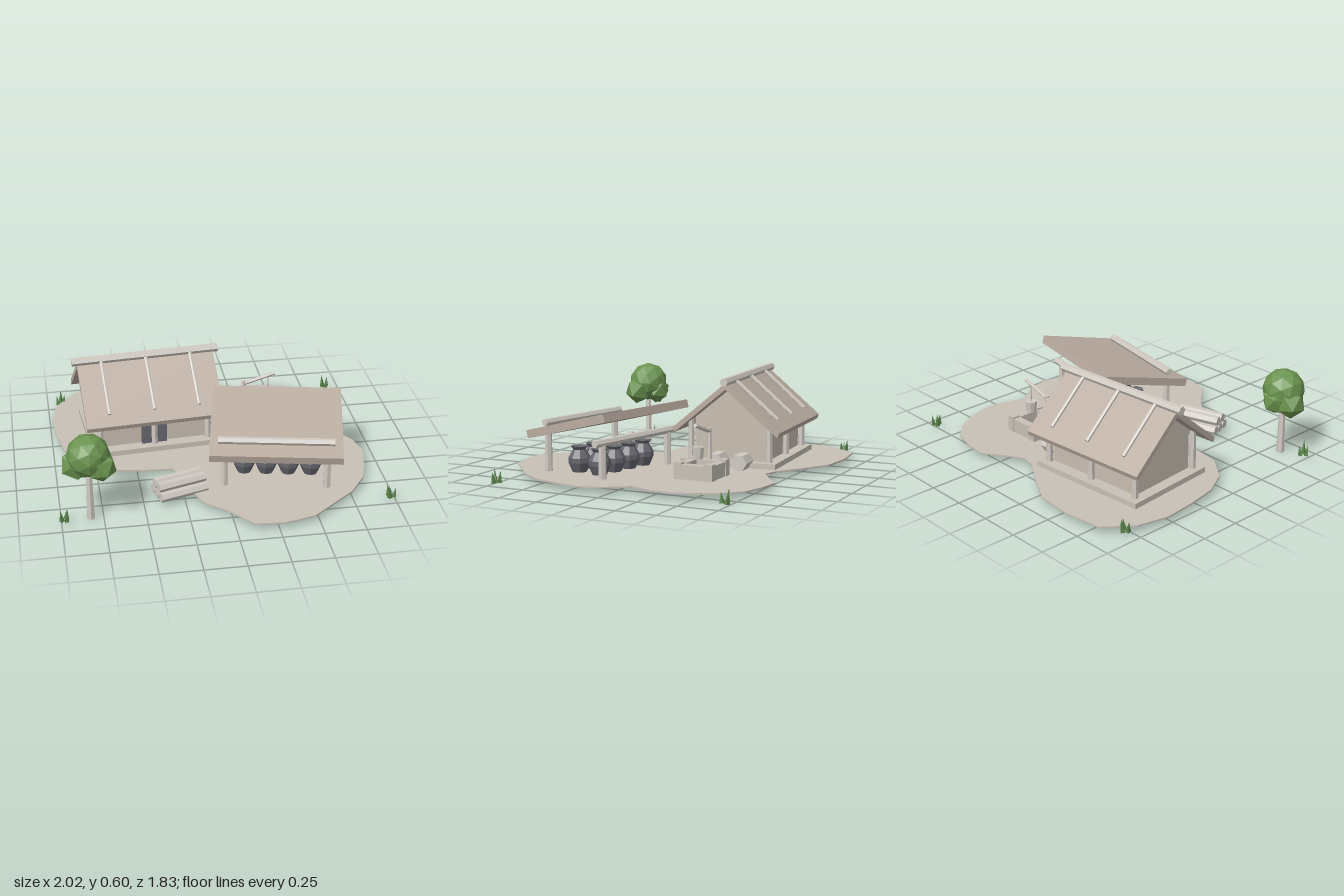
import * as THREE from 'three';

const mat = (name, color) => Object.assign(new THREE.MeshStandardMaterial({ color }), { name });
const M = {
  earth: mat('packed earth', 0xc8c0b7),
  roof: mat('roof thatch', 0xbaaca1),
  wall: mat('plaster wall', 0xc8bdb1),
  wood: mat('pale timber', 0xd0cac2),
  dark: mat('dark clay', 0x66676f),
  leaf: mat('tree leaves', 0x6a934f),
  grass: mat('grass', 0x58824a),
};

// Faceted normals for a low-poly look
const flat = (g) => {
  const f = g.index ? g.toNonIndexed() : g;
  f.computeVertexNormals();
  return f;
};

function add(parent, name, geo, material, x = 0, y = 0, z = 0) {
  const m = new THREE.Mesh(flat(geo), material);
  m.name = name;
  m.position.set(x, y, z);
  parent.add(m);
  return m;
}

function group(parent, name, x = 0, z = 0, turn = 0) {
  const g = new THREE.Group();
  g.name = name;
  g.position.set(x, 0, z);
  g.rotation.y = turn;
  parent.add(g);
  return g;
}

// Log lying along local x
const log = (r, len) => new THREE.CylinderGeometry(r, r, len, 6).rotateZ(Math.PI / 2);

// Upright post from y0 to y1
const post = (p, name, x, z, y0, y1, r) =>
  add(p, name, new THREE.CylinderGeometry(r * 0.9, r, y1 - y0, 6), M.wood, x, (y0 + y1) / 2, z);

// Pole between two points
function pole(p, name, a, b, r) {
  const from = new THREE.Vector3(...a), to = new THREE.Vector3(...b);
  const dir = to.clone().sub(from);
  const m = add(p, name, new THREE.CylinderGeometry(r, r, dir.length(), 6), M.wood);
  m.position.copy(from).add(to).multiplyScalar(0.5);
  m.quaternion.setFromUnitVectors(new THREE.Vector3(0, 1, 0), dir.normalize());
}

// Cross-section in z and y, stretched along x
function section(points, len) {
  const shape = new THREE.Shape(points.map((p) => new THREE.Vector2(...p)));
  return new THREE.ExtrudeGeometry(shape, { depth: len, bevelEnabled: false })
    .translate(0, 0, -len / 2).rotateY(Math.PI / 2);
}

function buildGround(root) {
  const outline = [
    [-0.81, -0.89], [-0.56, -0.92], [-0.33, -0.9], [-0.14, -0.79], [0.02, -0.685], [0.12, -0.66],
    [0.19, -0.7], [0.36, -0.815], [0.5, -0.8], [0.64, -0.76], [0.75, -0.66], [0.82, -0.53],
    [0.86, -0.39], [0.85, -0.25], [0.8, -0.12], [0.9, 0.03], [0.935, 0.18], [0.9, 0.34],
    [0.855, 0.49], [0.75, 0.64], [0.64, 0.73], [0.475, 0.865], [0.29, 0.912], [0.11, 0.9],
    [-0.03, 0.73], [-0.155, 0.625], [-0.2, 0.5], [-0.235, 0.4], [-0.285, 0.21], [-0.46, 0.2],
    [-0.69, 0.165], [-0.85, 0.04], [-0.935, -0.12], [-0.97, -0.32], [-0.99, -0.52], [-0.945, -0.72],
  ];
  const shape = new THREE.Shape(outline.map(([x, z]) => new THREE.Vector2(x, -z)));
  const g = new THREE.ExtrudeGeometry(shape, { depth: 0.01, bevelEnabled: false }).rotateX(-Math.PI / 2);
  add(root, 'ground', g, M.earth, 0, 0.032, 0);
}

function buildHouse(root) {
  const h = group(root, 'house', -0.382, -0.327, 0.08);
  add(h, 'platform', new THREE.BoxGeometry(0.8, 0.05, 0.62), M.earth, 0, 0.051, 0);
  add(h, 'walls', section([[-0.235, 0.07], [0.235, 0.07], [0.235, 0.33], [0, 0.523], [-0.235, 0.33]], 0.66), M.wall);
  add(h, 'door', new THREE.BoxGeometry(0.16, 0.15, 0.03), M.dark, 0.0, 0.147, 0.24);
  add(h, 'roof', section([[-0.335, 0.245], [0, 0.525], [0.335, 0.245],
    [0.346, 0.275], [0, 0.565], [-0.346, 0.275]], 0.875), M.roof);
  add(h, 'ridgeLog', log(0.027, 0.94), M.wood, 0, 0.573, 0);
  for (const s of [-1, 1]) {
    for (const x of [-0.345, 0, 0.345]) post(h, 'housePost', x, s * 0.255, 0, 0.32, 0.022);
    for (const x of [-0.285, 0, 0.285]) {
      pole(h, 'roofPole', [x, 0.572, s * 0.01], [x, 0.333, s * 0.29], 0.012);
    }
  }
}

function buildShed(root) {
  const s = group(root, 'shed', 0.348, 0.288, -0.2);
  const roof = add(s, 'shedRoof', new THREE.BoxGeometry(0.8, 0.05, 0.63), M.roof, 0, 0.345, 0);
  roof.rotation.x = 0.245;
  add(s, 'roofLog', log(0.023, 0.7), M.wood, 0, 0.343, 0.207);
  add(s, 'backBeam', log(0.024, 0.76), M.wood, 0, 0.257, -0.215);
  for (const x of [-0.31, 0.31]) {
    post(s, 'frontPost', x, 0.215, 0, 0.285, 0.025);
    post(s, 'backPost', x, -0.215, 0, 0.245, 0.025);
  }
  // Two rows of storage jars
  const profile = [[0, 0.028], [0.038, 0.028], [0.068, 0.1], [0.068, 0.13], [0.038, 0.18], [0.053, 0.2], [0.04, 0.2], [0, 0.185]]
    .map((p) => new THREE.Vector2(...p));
  for (const z of [0.05, -0.11]) {
    for (let i = 0; i < 4; i++) {
      add(s, 'jar', new THREE.LatheGeometry(profile, 8), M.dark, 0.01 + (i - 1.5) * 0.136, 0, z);
    }
  }
}

function buildWell(root) {
  const w = group(root, 'well', 0.375, -0.355);
  for (const s of [-1, 1]) {
    add(w, 'wellSide', new THREE.BoxGeometry(0.05, 0.1, 0.23), M.earth, s * 0.1, 0.08, 0);
    add(w, 'wellEnd', new THREE.BoxGeometry(0.15, 0.1, 0.05), M.earth, 0, 0.08, s * 0.095);
    for (const t of [-1, 1]) {
      add(w, 'wellCorner', new THREE.BoxGeometry(0.05, 0.11, 0.05), M.earth, s * 0.1, 0.086, t * 0.1);
    }
  }
  post(w, 'wellPost', -0.115, 0, 0.02, 0.32, 0.016);
  pole(w, 'wellArm', [-0.13, 0.295, 0], [0.09, 0.362, 0], 0.012);
  pole(w, 'rope', [0.045, 0.23, 0], [0.045, 0.345, 0], 0.005);
  add(w, 'bucket', new THREE.CylinderGeometry(0.037, 0.03, 0.07, 8), M.wood, 0.045, 0.195, 0);
}

function buildLogs(root) {
  // Stacked firewood
  const p = group(root, 'logPile', -0.275, 0.46, 0.3);
  [[-0.06, 0.06], [0, 0.06], [0.06, 0.06], [-0.03, 0.113], [0.03, 0.113]].forEach(([z, y]) =>
    add(p, 'pileLog', log(0.031, 0.305), M.wood, 0, y, z));
  // Short logs beside the gable
  const g = group(root, 'gableLogs', 0.06, -0.4, 0.08);
  for (const z of [-0.075, 0.08]) add(g, 'gableLog', log(0.053, 0.13), M.wood, 0, 0.09, z);
}

function buildPlants(root) {
  const t = group(root, 'tree', -0.825, 0.62);
  add(t, 'trunk', new THREE.CylinderGeometry(0.018, 0.026, 0.34, 6), M.wood, 0, 0.17, 0);
  [[0, 0.425, 0, 0.13], [-0.075, 0.36, -0.02, 0.095], [0.07, 0.37, 0.04, 0.095], [0.0, 0.37, -0.065, 0.09]]
    .forEach(([x, y, z, r], i) => {
      const m = add(t, 'leaves', new THREE.IcosahedronGeometry(r, i ? 0 : 1), M.leaf, x, y, z);
      m.rotation.set(i * 0.7, i * 1.1, 0);
    });
  // Grass tufts, each of a few leaning blades
  [[-0.915, -0.795], [0.9, -0.75], [0.97, 0.705], [-0.975, 0.66]].forEach(([x, z], i) => {
    const tuft = group(root, 'grassTuft', x, z, i * 1.3);
    [[-0.022, 0.065, 0.012], [0.003, 0.085, -0.016], [0.022, 0.07, 0.014]].forEach(([bx, h, bz]) => {
      const b = add(tuft, 'grassBlade', new THREE.ConeGeometry(0.017, h, 4), M.grass, bx, 0.02 + h / 2, bz);
      b.rotation.set(bz * 8, bx * 30, -bx * 8);
    });
  });
}

export function createModel() {
  const root = new THREE.Group();
  root.name = 'farmstead';
  [buildGround, buildHouse, buildShed, buildWell, buildLogs, buildPlants].forEach((build) => build(root));
  return root;
}
